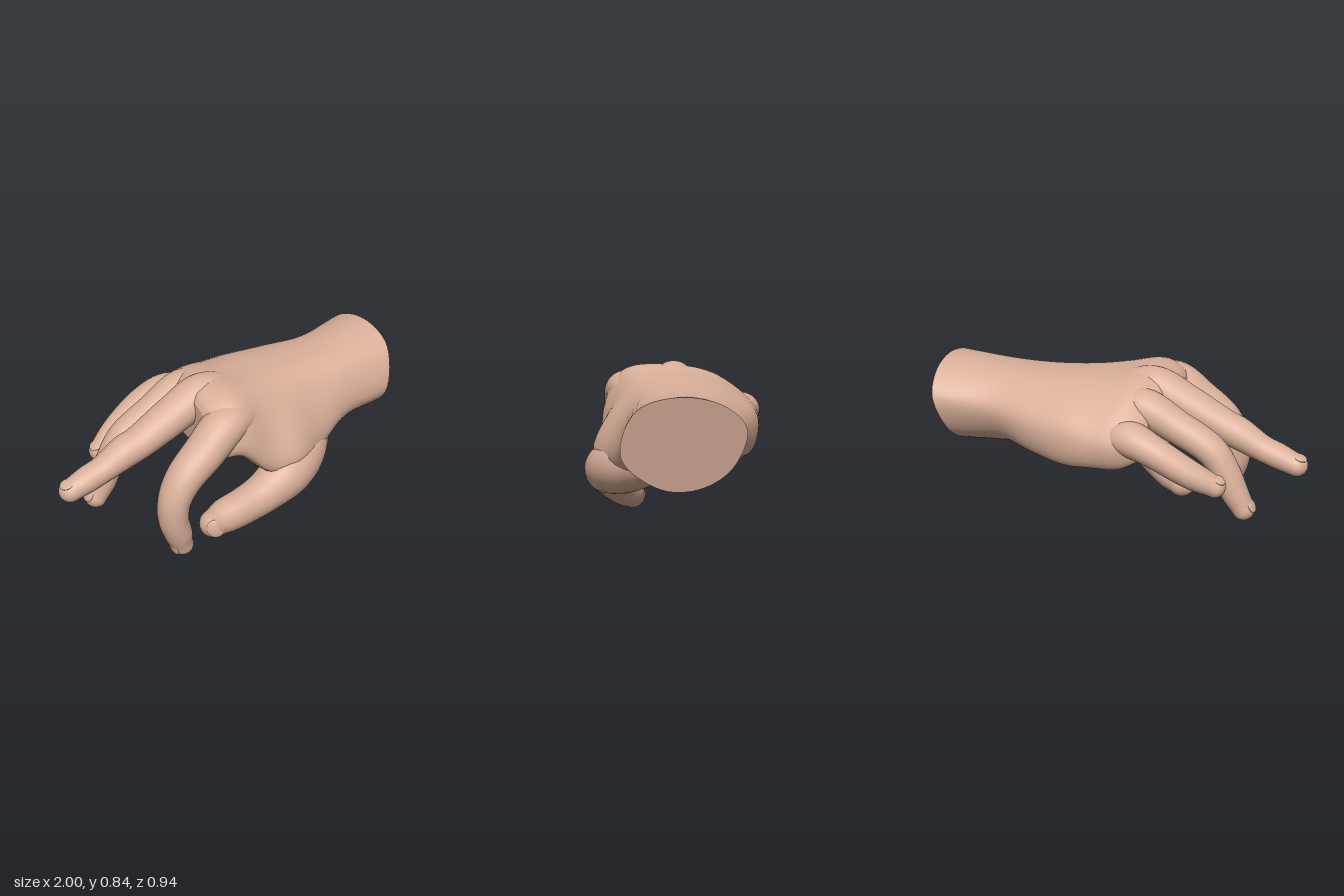
import * as THREE from 'three';

const V = (x, y, z) => new THREE.Vector3(x, y, z);
const skin = new THREE.MeshStandardMaterial({ color: 0xdab09a });
skin.name = 'skin';

// Skin a list of closed rings, each with the same number of points
function loft(name, rings) {
  const n = rings[0].length, pos = [], idx = [];
  rings.forEach(r => r.forEach(p => pos.push(p.x, p.y, p.z)));
  for (let i = 0; i < rings.length - 1; i++) {
    for (let j = 0; j < n; j++) {
      const a = i * n + j, c = i * n + (j + 1) % n;
      idx.push(a, c, a + n, c, c + n, a + n);
    }
  }
  const g = new THREE.BufferGeometry();
  g.setAttribute('position', new THREE.Float32BufferAttribute(pos, 3));
  g.setIndex(idx);
  g.computeVertexNormals();
  const mesh = new THREE.Mesh(g, skin);
  mesh.name = name;
  return mesh;
}

function centreOf(ring) {
  return ring.reduce((s, p) => s.add(p), V(0, 0, 0)).divideScalar(ring.length);
}

// Tapered limb through nodes [x, y, z, radius], with a domed tip
function limb(name, nodes, wide) {
  const path = new THREE.CatmullRomCurve3(nodes.map(p => V(p[0], p[1], p[2])));
  const radii = new THREE.SplineCurve(nodes.map((p, i) => new THREE.Vector2(i, p[3])));
  const sides = 28, steps = nodes.length * 7, rings = [];
  const addRing = (c, t, r) => {
    const n = V(t.y, -t.x, 0).normalize(), b = t.clone().cross(n);
    rings.push(Array.from({ length: sides }, (_, j) => {
      const a = j / sides * Math.PI * 2;
      return c.clone().addScaledVector(n, r * Math.cos(a)).addScaledVector(b, r * wide * Math.sin(a));
    }));
  };
  addRing(path.getPoint(0), path.getTangent(0), 0.001);
  for (let i = 0; i <= steps; i++) {
    const u = i / steps;
    addRing(path.getPoint(u), path.getTangent(u), radii.getPoint(u).y);
  }
  const end = path.getPoint(1), dir = path.getTangent(1), r = nodes[nodes.length - 1][3];
  for (let k = 1; k <= 8; k++) {
    const a = k / 8 * Math.PI / 2;
    addRing(end.clone().addScaledVector(dir, r * Math.sin(a)), dir, Math.max(r * Math.cos(a), 0.0005));
  }
  return loft(name, rings);
}

// Shallow fingernail lying on the outer side of the last joint
function nail(name, nodes, out) {
  const [p, q] = nodes.slice(-2), r = q[3];
  const dir = V(q[0] - p[0], q[1] - p[1], q[2] - p[2]).normalize();
  const up = out || V(dir.y, -dir.x, 0);
  up.addScaledVector(dir, -up.dot(dir)).normalize();
  const mesh = new THREE.Mesh(new THREE.SphereGeometry(1, 20, 12), skin);
  mesh.name = name;
  mesh.scale.set(r * 0.7, r * 0.2, r * 0.65);
  mesh.position.set(q[0], q[1], q[2]).addScaledVector(up, r * 0.83);
  mesh.quaternion.setFromRotationMatrix(new THREE.Matrix4().makeBasis(up.clone().cross(dir), up, dir));
  return mesh;
}

// Palm and wrist sections: x, slant by y, slant by z, then eight [z, y] points
// running over the back of the hand and returning under the palm
const sections = [
  [0.945, 0.24, 0, [[0.14, 0.735], [-0.07, 0.805], [-0.28, 0.76], [-0.38, 0.65], [-0.31, 0.45], [-0.15, 0.345], [0.03, 0.345], [0.215, 0.5]]],
  [0.66, 0.08, 0, [[0.15, 0.72], [-0.05, 0.775], [-0.23, 0.735], [-0.33, 0.62], [-0.28, 0.46], [-0.14, 0.36], [0.06, 0.345], [0.23, 0.47]]],
  [0.42, 0, 0, [[0.15, 0.73], [-0.04, 0.78], [-0.25, 0.74], [-0.39, 0.6], [-0.35, 0.42], [-0.15, 0.36], [0.12, 0.265], [0.315, 0.4]]],
  [0.2, 0, 0, [[0.19, 0.745], [-0.02, 0.795], [-0.25, 0.755], [-0.44, 0.6], [-0.41, 0.4], [-0.18, 0.39], [0.18, 0.285], [0.41, 0.4]]],
  [0.05, 0, 0, [[0.23, 0.765], [0, 0.805], [-0.25, 0.76], [-0.455, 0.58], [-0.42, 0.41], [-0.18, 0.43], [0.18, 0.355], [0.385, 0.39]]],
  [-0.12, 0, -0.05, [[0.28, 0.79], [0, 0.825], [-0.24, 0.77], [-0.455, 0.57], [-0.41, 0.42], [-0.18, 0.47], [0.19, 0.49], [0.37, 0.55]]],
  [-0.22, 0, -0.1, [[0.25, 0.75], [0, 0.795], [-0.2, 0.735], [-0.41, 0.57], [-0.39, 0.46], [-0.18, 0.49], [0.16, 0.5], [0.34, 0.56]]],
];

function palm() {
  const rows = sections.map(([x, sy, sz, pts]) =>
    pts.map(([z, y]) => V(x + sy * (y - 0.57) + sz * z, y, z)));
  // Rounded end between the fingers
  const last = rows[rows.length - 1], mid = centreOf(last);
  rows.push(last.map(p => p.clone().lerp(mid, 0.18).add(V(-0.03, 0, 0))));
  const columns = last.map((_, j) => new THREE.CatmullRomCurve3(rows.map(r => r[j])));
  const rings = [];
  for (let i = 0; i <= 56; i++) {
    const ring = new THREE.CatmullRomCurve3(columns.map(c => c.getPoint(i / 56)), true);
    rings.push(Array.from({ length: 56 }, (_, j) => ring.getPoint(j / 56)));
  }
  const tip = centreOf(rings[56]);
  rings.push(rings[56].map(() => tip));
  const middle = centreOf(rings[0]);
  return [loft('palmAndWrist', rings), loft('wristCut', [rings[0].map(() => middle), rings[0]])];
}

// Each finger starts inside the back of the hand, then rises to its knuckle
const fingers = {
  index: [[0.12, 0.62, 0.17, 0.05], [-0.02, 0.675, 0.22, 0.075], [-0.17, 0.682, 0.255, 0.106], [-0.32, 0.58, 0.28, 0.102],
    [-0.455, 0.475, 0.295, 0.092], [-0.515, 0.37, 0.3, 0.083], [-0.522, 0.26, 0.3, 0.079], [-0.498, 0.165, 0.3, 0.074], [-0.477, 0.09, 0.3, 0.061]],
  middle: [[0.3, 0.72, -0.02, 0.04], [0.02, 0.745, 0, 0.06], [-0.15, 0.743, 0, 0.1], [-0.34, 0.66, 0, 0.098],
    [-0.55, 0.565, 0, 0.085], [-0.62, 0.54, -0.005, 0.084], [-0.75, 0.478, -0.01, 0.069], [-0.84, 0.447, -0.013, 0.067], [-0.94, 0.412, -0.016, 0.058]],
  ring: [[0.2, 0.67, -0.14, 0.045], [0.0, 0.685, -0.17, 0.06], [-0.15, 0.69, -0.18, 0.096], [-0.34, 0.605, -0.182, 0.087],
    [-0.53, 0.5, -0.183, 0.081], [-0.61, 0.39, -0.183, 0.075], [-0.66, 0.285, -0.183, 0.071], [-0.71, 0.2, -0.182, 0.06]],
  little: [[0.12, 0.56, -0.29, 0.06], [-0.02, 0.57, -0.33, 0.08], [-0.15, 0.58, -0.365, 0.092], [-0.29, 0.535, -0.384, 0.081],
    [-0.43, 0.46, -0.372, 0.074], [-0.51, 0.415, -0.353, 0.068], [-0.595, 0.37, -0.325, 0.056]],
};

const thumb = [[0.6, 0.46, 0.04, 0.08], [0.45, 0.385, 0.14, 0.12], [0.3, 0.34, 0.255, 0.14], [0.16, 0.305, 0.327, 0.135],
  [0.02, 0.238, 0.335, 0.11], [-0.09, 0.167, 0.295, 0.1], [-0.18, 0.115, 0.255, 0.094], [-0.235, 0.081, 0.236, 0.077]];

export function createModel() {
  const hand = new THREE.Group();
  hand.name = 'hand';
  hand.add(...palm());
  for (const [name, nodes] of Object.entries(fingers)) {
    hand.add(limb(name + 'Finger', nodes, 1.1), nail(name + 'Nail', nodes));
  }
  hand.add(limb('thumb', thumb, 1), nail('thumbNail', thumb, V(-0.5, 0.1, 1)));
  return hand;
}
